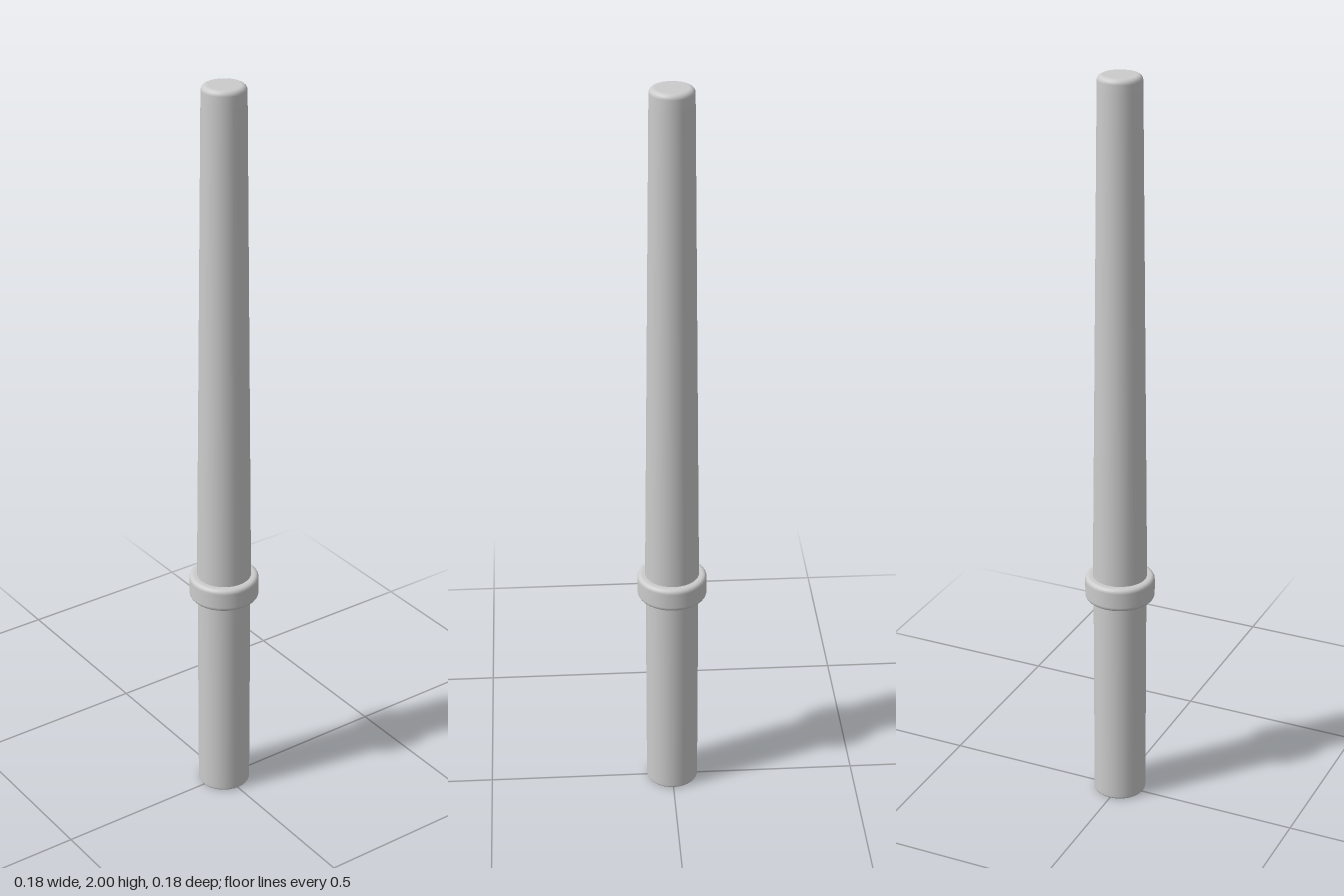
import * as THREE from 'three';

const SEGMENTS = 32;

// Solid round bar with rounded rims: radius r0 at y0 tapering to r1 at y1
function roundedBar(name, y0, r0, y1, r1, rim0, rim1, material) {
  const pts = [new THREE.Vector2(0, y0), new THREE.Vector2((r0 - rim0) * 0.97, y0)];
  const steps = 5;
  const arc = (r, y, rim, from) => {
    for (let i = 0; i <= steps; i++) {
      const a = from + (i / steps) * Math.PI / 2;
      pts.push(new THREE.Vector2(r - rim + rim * Math.cos(a), y + rim * Math.sin(a)));
    }
  };
  arc(r0, y0 + rim0, rim0, -Math.PI / 2);
  // extra rings keep the long wall's shading even
  for (const t of [0.02, 0.5, 0.98]) {
    pts.push(new THREE.Vector2(
      THREE.MathUtils.lerp(r0, r1, t),
      THREE.MathUtils.lerp(y0 + rim0, y1 - rim1, t)));
  }
  arc(r1, y1 - rim1, rim1, 0);
  pts.push(new THREE.Vector2((r1 - rim1) * 0.97, y1), new THREE.Vector2(0, y1));
  const mesh = new THREE.Mesh(new THREE.LatheGeometry(pts, SEGMENTS), material);
  mesh.name = name;
  return mesh;
}

export function createModel() {
  const group = new THREE.Group();
  group.name = 'roundStaff';
  const grey = new THREE.MeshStandardMaterial({ color: 0xcccccc });

  // Grip below the guard
  group.add(roundedBar('handle', 0, 0.07, 0.62, 0.07, 0.007, 0.002, grey));
  // Long shaft, narrowing to a rounded tip
  group.add(roundedBar('shaft', 0.62, 0.072, 2, 0.056, 0.002, 0.013, grey));
  // Ring guard
  group.add(roundedBar('guard', 0.59, 0.092, 0.655, 0.092, 0.011, 0.011, grey));

  return group;
}
